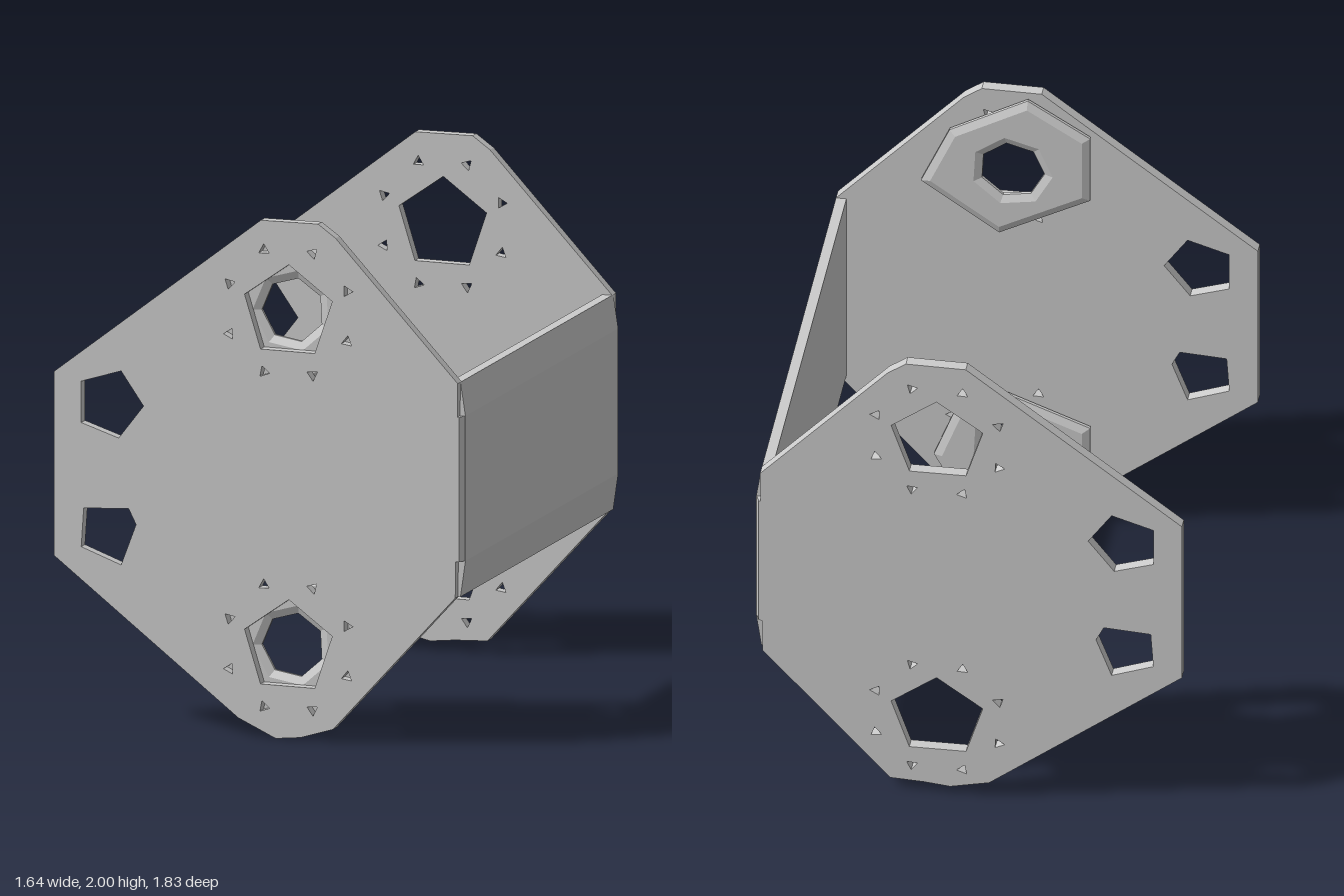
import * as THREE from 'three';

const material = new THREE.MeshStandardMaterial({ color: 0xcccccc, flatShading: true });

const toPoints = (list) => list.map(([x, y]) => new THREE.Vector2(x, y));

const polygon = (cx, cy, r, sides, turn = 0) =>
  Array.from({ length: sides }, (_, i) => {
    const a = turn + (i / sides) * Math.PI * 2;
    return [cx + r * Math.cos(a), cy + r * Math.sin(a)];
  });

// Flat part cut from an outline with holes, starting at depth z
function cutPart(name, outline, holes, z, depth, bevel = {}) {
  const shape = new THREE.Shape(toPoints(outline));
  for (const h of holes) shape.holes.push(new THREE.Path(toPoints(h)));
  const geometry = new THREE.ExtrudeGeometry(shape, { depth, bevelEnabled: false, ...bevel });
  const mesh = new THREE.Mesh(geometry, material);
  mesh.name = name;
  mesh.position.z = z;
  return mesh;
}

const BORE_X = 0.12;
const BORES_Y = [1.65, 0.355];

// Eight small rivet holes around a bore
const rivetHoles = (cy) =>
  polygon(BORE_X, cy, 0.255, 8, Math.PI / 8).map(([x, y], i) => polygon(x, y, 0.024, 3, i * 0.8));

function sidePlate(name, z, bottom) {
  const outline = [
    [-0.82, 0.65], [-0.08, 0.07], [0.07, bottom], [0.17, bottom + 0.01], [0.3, 0.05],
    [0.79, 0.59], [0.8, 1.42], [0.31, 1.95], [0.24, 2], [0.01, 2], [-0.82, 1.36],
  ];
  const slots = [
    [[-0.71, 1.33], [-0.55, 1.38], [-0.46, 1.25], [-0.56, 1.12], [-0.71, 1.17]],
    [[-0.7, 0.84], [-0.52, 0.85], [-0.49, 0.79], [-0.55, 0.63], [-0.71, 0.69]],
  ];
  const bores = BORES_Y.map((y) => polygon(BORE_X, y, 0.185, 5, 0.3));
  return cutPart(name, outline, [...slots, ...bores, ...BORES_Y.flatMap(rivetHoles)], z, 0.045);
}

export function createModel() {
  const group = new THREE.Group();
  group.name = 'bracket';

  // Two parallel plates
  group.add(sidePlate('frontPlate', 0.872, 0));
  group.add(sidePlate('backPlate', -0.917, 0.035));

  // Web joining the plates, with a slightly crowned outer face
  group.add(cutPart('web', [
    [0.76, 0.59], [0.8, 0.59], [0.82, 0.73], [0.82, 1.29], [0.8, 1.42], [0.76, 1.42],
  ], [], -0.885, 1.77));

  // Sloping ends of the web's outer face at both bent corners
  for (const s of [-1, 1]) {
    const corner = cutPart('bentCorner', [
      [0.78, s * 0.88], [0.82, s * 0.88], [0.805, s * 0.917], [0.78, s * 0.917],
    ], [], 0, 0.56);
    corner.rotation.x = Math.PI / 2;
    corner.position.y = 1.29;
    corner.position.z = 0;
    group.add(corner);
  }

  // Six-sided bearing rings on the inside of the front plate
  const rings = [
    [[0.47, 1.56], [0.36, 1.81], [0.06, 1.98], [-0.18, 1.83], [-0.18, 1.54], [0.17, 1.35]],
    [[0.42, 0.28], [0.28, 0.65], [-0.18, 0.47], [-0.18, 0.17], [0.04, 0.02], [0.3, 0.06]],
  ];
  rings.forEach((outline, i) => {
    const bore = polygon(BORE_X, BORES_Y[i], 0.125, 7, 0.5);
    group.add(cutPart(i ? 'lowerRing' : 'upperRing', outline, [bore], 0.847, 0.013, {
      bevelEnabled: true, bevelSegments: 1, bevelThickness: 0.013, bevelSize: 0.03, bevelOffset: -0.03,
    }));
  });

  return group;
}
